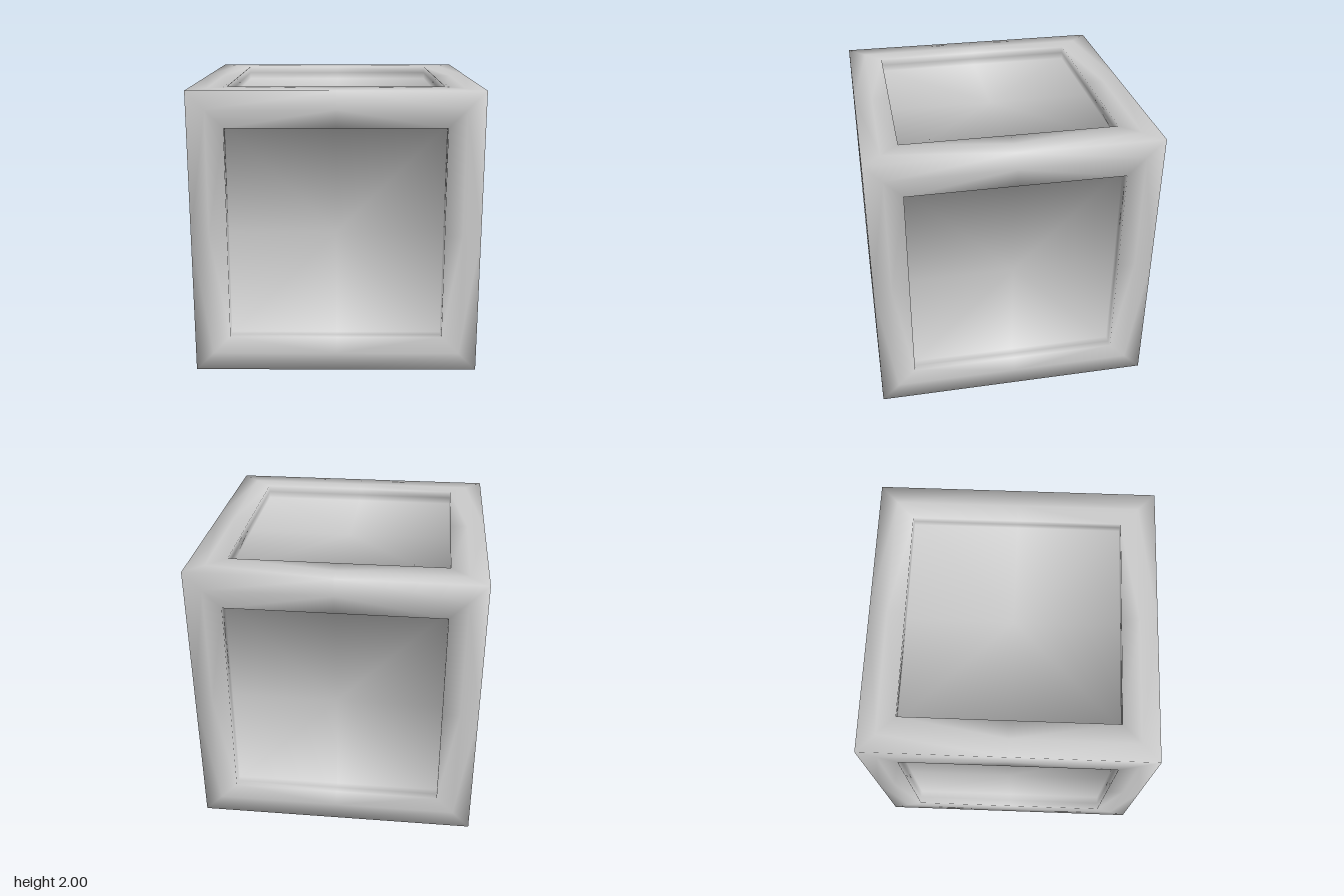
import * as THREE from 'three';

// Eight points around a square, counter-clockwise: corners and edge middles
const AROUND = [[1, 0], [1, 1], [0, 1], [-1, 1], [-1, 0], [-1, -1], [0, -1], [1, -1]];

// Square ring of half-size s at height z; lean tilts the normals outwards (> 0)
// or inwards (< 0), lift raises them towards the front
function ring(s, z, lean, lift, cornerLift = lift) {
  return AROUND.map(([i, j]) => ({
    p: [i * s, j * s, z],
    n: new THREE.Vector3(i * lean, j * lean, i && j ? cornerLift : lift).normalize().toArray(),
  }));
}

function smoothMesh(name, points, index, material) {
  const geo = new THREE.BufferGeometry();
  geo.setAttribute('position', new THREE.Float32BufferAttribute(points.flatMap((v) => v.p), 3));
  geo.setAttribute('normal', new THREE.Float32BufferAttribute(points.flatMap((v) => v.n), 3));
  geo.setIndex(index);
  const mesh = new THREE.Mesh(geo, material);
  mesh.name = name;
  return mesh;
}

// Smooth-shaded surface through a list of rings, from the outermost inwards
function band(name, rings, material) {
  const index = [];
  for (let r = 0; r < rings.length - 1; r++) {
    for (let k = 0; k < 8; k++) {
      const a = r * 8 + k, b = r * 8 + ((k + 1) % 8);
      // split both halves of a side alike, so the shading mirrors
      if (k % 2) index.push(a, b, a + 8, b, b + 8, a + 8);
      else index.push(a, b, b + 8, a, b + 8, a + 8);
    }
  }
  return smoothMesh(name, rings.flat(), index, material);
}

// Fan of eight triangles from the centre of a ring
function fan(name, rim, material) {
  const centre = { p: [0, 0, rim[0].p[2]], n: [0, 0, 1] };
  const index = rim.flatMap((_, k) => [0, k + 1, ((k + 1) % 8) + 1]);
  return smoothMesh(name, [centre, ...rim], index, material);
}

export function createModel() {
  const model = new THREE.Group();
  model.name = 'panelledCube';
  const material = new THREE.MeshStandardMaterial({ color: 0xcccccc });

  const edge = ring(1, 1, 1, 1);
  const middle = ring(0.875, 1, 0, 1);
  const rim = ring(0.75, 1, -1, 1, 3);
  const wall = ring(0.75, 0.95, -1, 0);
  const floor = ring(0.75, 0.9, -1, 1);

  // One side: flat border, step, sunken panel
  const side = new THREE.Group();
  side.add(
    band('border', [edge, middle, rim], material),
    band('recessWall', [rim, wall, floor], material),
    fan('recessedPanel', floor, material),
  );

  // Six sides of the cube
  const q = Math.PI / 2;
  const turns = {
    frontSide: [0, 0], leftSide: [0, q], backSide: [0, 2 * q],
    rightSide: [0, -q], topSide: [-q, 0], bottomSide: [q, 0],
  };
  for (const [name, [rx, ry]] of Object.entries(turns)) {
    const s = side.clone();
    s.name = name;
    s.rotation.set(rx, ry, 0);
    s.position.y = 1;
    model.add(s);
  }
  return model;
}
